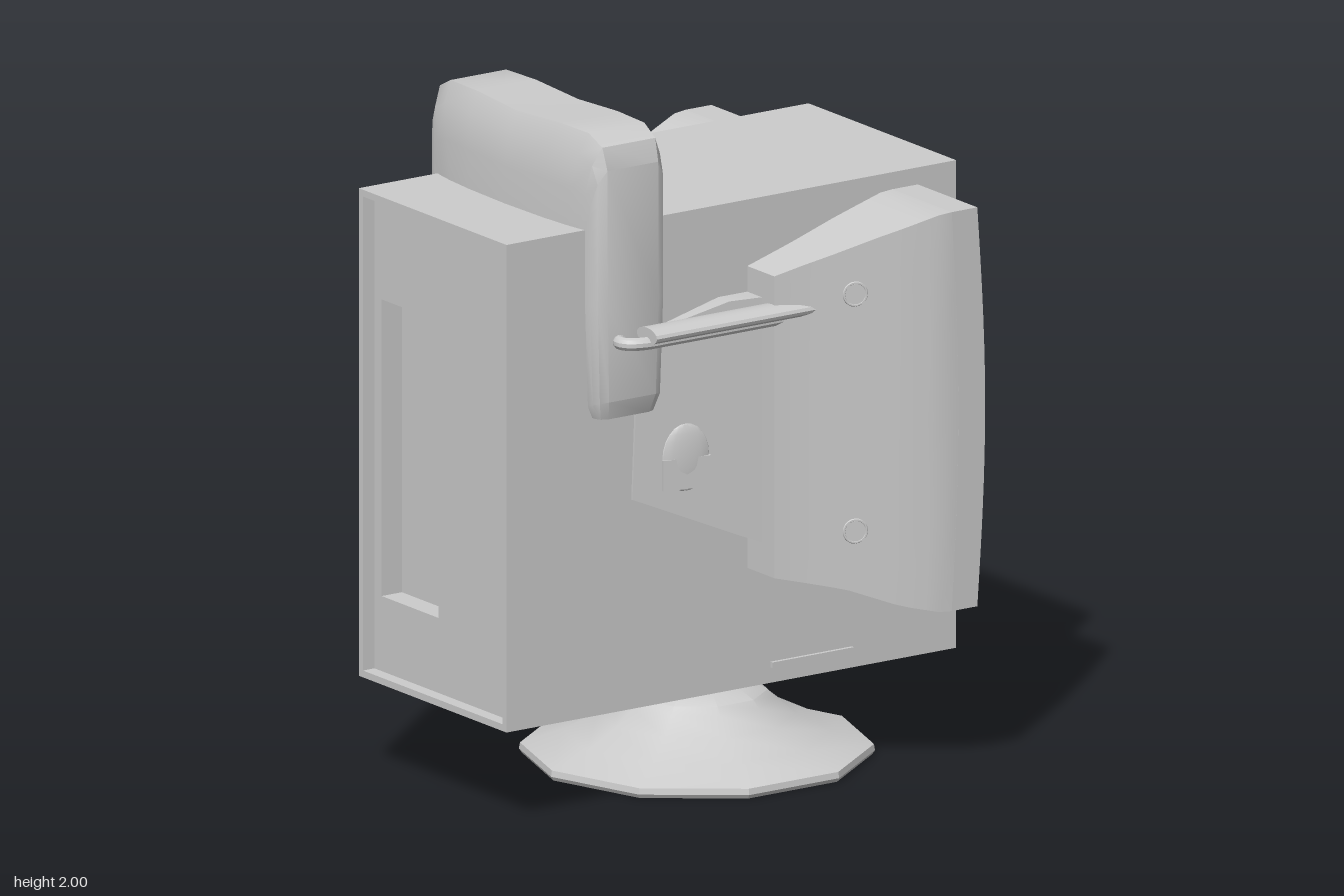
import * as THREE from 'three';
import { toCreasedNormals } from 'three/addons/utils/BufferGeometryUtils.js';

const grey = new THREE.MeshStandardMaterial({ color: 0xcccccc });
const dark = new THREE.MeshStandardMaterial({ color: 0x6c6c6c });
const { lerp } = THREE.MathUtils;

function add(parent, name, geometry, material = grey) {
  const mesh = new THREE.Mesh(toCreasedNormals(geometry, 0.5), material);
  mesh.name = name;
  parent.add(mesh);
  return mesh;
}

function box(x0, x1, y0, y1, z0, z1) {
  return new THREE.BoxGeometry(x1 - x0, y1 - y0, z1 - z0)
    .translate((x0 + x1) / 2, (y0 + y1) / 2, (z0 + z1) / 2);
}

// Piecewise-linear lookup in a list of [x, value]
function along(points, x) {
  for (let i = 1; i < points.length; i++) {
    const [x0, a] = points[i - 1], [x1, b] = points[i];
    if (x <= x1) return lerp(a, b, (x - x0) / (x1 - x0));
  }
  return points[points.length - 1][1];
}

// Rectangular frame in the z-y plane, extruded along x
function frame(x0, x1, outer, inner) {
  const rect = ([z0, z1, y0, y1]) => [[-z1, y0], [-z0, y0], [-z0, y1], [-z1, y1]].map(p => new THREE.Vector2(...p));
  const shape = new THREE.Shape(rect(outer));
  shape.holes.push(new THREE.Path(rect(inner)));
  return new THREE.ExtrudeGeometry(shape, { depth: x1 - x0, bevelEnabled: false })
    .rotateY(Math.PI / 2).translate(x0, 0, 0);
}

// Flared side pod: a block of its (u, v, w) space, bent to the pod's outline
const podBottom = [[0, 0.64], [0.2, 0.59], [0.35, 0.53], [0.47, 0.5], [0.62, 0.5]];
const podTop = [[0, 1.525], [0.15, 1.57], [0.3, 1.62], [0.47, 1.67], [0.62, 1.67]];
const podOuter = [[0, 0.495], [0.1, 0.525], [0.35, 0.62], [0.47, 0.655], [0.62, 0.655]];
function podBlock(u0, u1, v0, v1, w0, w1) {
  const g = new THREE.BoxGeometry(1, 1, 1, 12, 10, 1);
  const p = g.attributes.position;
  for (let i = 0; i < p.count; i++) {
    const u = lerp(u0, u1, p.getX(i) + 0.5);
    const v = lerp(v0, v1, p.getY(i) + 0.5);
    const w = lerp(w0, w1, p.getZ(i) + 0.5);
    const x = u * (0.588 + 0.027 * Math.sin(Math.PI * v));
    p.setXYZ(i, x, lerp(along(podBottom, x), along(podTop, x), v), lerp(0.355, along(podOuter, x), w));
  }
  return g;
}

// Saddle over the cabinet: octagonal sections lofted along an inverted U
function saddleGeometry() {
  // outer z, outer y, inner z, inner y, half width
  const half = [
    [0.4, 1.165, 0.355, 1.165, 0.1], [0.418, 1.22, 0.355, 1.2, 0.115],
    [0.422, 1.5, 0.355, 1.5, 0.125], [0.42, 1.9, 0.355, 1.7, 0.125],
    [0.4, 1.965, 0.33, 1.7, 0.13], [0.34, 1.995, 0.28, 1.7, 0.137],
    [0.2, 1.996, 0.18, 1.7, 0.145]];
  const path = [...half, [0, 1.985, 0, 1.7, 0.15],
    ...half.slice().reverse().map(([a, b, c, d, w]) => [-a, b, -c, d, w])];
  const side = [[0, 1], [0.45, 0.98], [0.8, 0.9], [1, 0.7]];
  const loop = [...side, ...side.slice().reverse().map(([t, s]) => [t, -s])];
  const n = loop.length, pos = [], index = [];
  path.forEach(([oz, oy, iz, iy, w]) => loop.forEach(([t, s]) =>
    pos.push(-0.435 + s * w, lerp(iy, oy, t), lerp(iz, oz, t))));
  for (let i = 0; i < path.length - 1; i++) {
    for (let j = 0; j < n; j++) {
      const a = i * n + j, b = i * n + (j + 1) % n;
      index.push(a, a + n, b + n, a, b + n, b);
    }
  }
  const last = (path.length - 1) * n;
  for (let j = 1; j < n - 1; j++) index.push(0, j, j + 1, last, last + j + 1, last + j);
  const g = new THREE.BufferGeometry();
  g.setAttribute('position', new THREE.Float32BufferAttribute(pos, 3));
  g.setIndex(index);
  return g;
}

// Everything that appears on both flanks, made for +z
function makeFlank() {
  const flank = new THREE.Group();

  // Pod with a recessed window in its end
  const vLow = 0.24, vHigh = 0.94, wIn = 0.05, wOut = 0.75, uCut = 0.85;
  add(flank, 'podShell', podBlock(0, uCut, 0, 1, 0, 1));
  add(flank, 'podFrameBottom', podBlock(uCut, 1, 0, vLow, 0, 1));
  add(flank, 'podFrameTop', podBlock(uCut, 1, vHigh, 1, 0, 1));
  add(flank, 'podFrameOuter', podBlock(uCut, 1, vLow, vHigh, wOut, 1));
  add(flank, 'podFrameInner', podBlock(uCut, 1, vLow, vHigh, 0, wIn));
  add(flank, 'podWindow', podBlock(uCut - 0.02, uCut + 0.02, vLow, vHigh, wIn, wOut), dark);

  // Screws on the sloping pod face
  for (const y of [0.76, 1.455]) {
    const screw = new THREE.Group();
    screw.name = 'podScrew';
    screw.position.set(0.225, y, along(podOuter, 0.225));
    screw.rotation.y = -Math.atan(0.38);
    add(screw, 'screwRim', new THREE.TorusGeometry(0.033, 0.004, 6, 20));
    add(screw, 'screwHead', new THREE.CylinderGeometry(0.03, 0.03, 0.004, 20).rotateX(Math.PI / 2));
    flank.add(screw);
  }

  // Tapered wing in front of the pod
  const outline = [[-0.4, 0.905], [0, 0.73], [0, 1.45], [-0.1, 1.45], [-0.38, 1.38]];
  const wing = new THREE.ExtrudeGeometry(
    new THREE.Shape(outline.map(p => new THREE.Vector2(...p))), { depth: 1, bevelEnabled: false });
  const p = wing.attributes.position;
  for (let i = 0; i < p.count; i++) {
    p.setZ(i, p.getZ(i) > 0.5 ? 0.368 + 0.066 * (p.getX(i) + 0.4) / 0.4 : 0.34);
  }
  add(flank, 'wing', wing);
  const knob = add(flank, 'wingKnob', new THREE.SphereGeometry(1, 20, 12).scale(0.075, 0.1, 0.016));
  knob.position.set(-0.235, 1.01, 0.393);
  knob.rotation.y = -0.163;
  const grip = add(flank, 'wingGrip', box(-0.075, 0.075, -0.045, 0.045, -0.01, 0.012));
  grip.position.set(-0.235, 0.965, 0.395);
  grip.rotation.y = -0.163;

  // Hooked rod and flat arm joining pod and saddle
  const hook = new THREE.CatmullRomCurve3([[-0.46, 0.4], [-0.488, 0.425], [-0.485, 0.46], [-0.44, 0.482],
    [-0.35, 0.485], [0.08, 0.485]].map(([x, z]) => new THREE.Vector3(x, 1.395, z)));
  add(flank, 'hookRod', new THREE.TubeGeometry(hook, 40, 0.019, 10));
  add(flank, 'arm', new THREE.CylinderGeometry(1, 1, 0.55, 16).rotateZ(Math.PI / 2)
    .scale(1, 0.024, 0.05).translate(-0.155, 1.417, 0.482));

  // Low slot rib
  add(flank, 'slotRib', box(0.08, 0.36, 0.335, 0.352, 0.35, 0.373));
  return flank;
}

export function createModel() {
  const model = new THREE.Group();
  model.name = 'cabinetOnStand';

  // Cabinet with an inset, windowed end panel
  add(model, 'cabinet', box(-0.72, 0.72, 0.29, 1.72, -0.365, 0.362));
  add(model, 'endPanel', frame(-0.79, -0.72, [-0.355, 0.352, 0.3, 1.71], [-0.31, -0.03, 0.53, 1.4]));
  add(model, 'endRim', frame(-0.83, -0.72, [-0.365, 0.362, 0.29, 1.72], [-0.345, 0.342, 0.31, 1.7]));

  // Ten-sided pedestal
  const profile = [[0, 0], [0.495, 0], [0.503, 0.012], [0.5, 0.03], [0.38, 0.07], [0.28, 0.12],
    [0.22, 0.168], [0.2, 0.19], [0.15, 0.215], [0, 0.222]].map(q => new THREE.Vector2(...q));
  add(model, 'pedestal', new THREE.LatheGeometry(profile, 10).rotateY(Math.PI / 2)).position.x = 0.08;
  add(model, 'neck', new THREE.CylinderGeometry(0.075, 0.075, 0.1, 16)).position.set(0.08, 0.25, 0);

  // Bulging cover and buttons on the end
  const bulge = new THREE.Shape();
  bulge.moveTo(0.71, 0.125);
  bulge.splineThru([[0.72, 0.12], [0.785, 0.01], [0.828, -0.1], [0.79, -0.215], [0.72, -0.32], [0.71, -0.325]]
    .map(q => new THREE.Vector2(...q)));
  add(model, 'endCover', new THREE.ExtrudeGeometry(bulge, { depth: 0.62, bevelEnabled: false, curveSegments: 20 })
    .rotateX(-Math.PI / 2).translate(0, 0.41, 0));
  const button = (r, x, y, z) => add(model, 'button',
    new THREE.CylinderGeometry(r, r, 0.04, 20).rotateZ(Math.PI / 2)).position.set(x, y, z);
  for (const y of [0.945, 0.873, 0.8]) button(0.028, 0.716, y, -0.23);
  button(0.035, 0.595, 0.645, -0.403);

  add(model, 'saddle', saddleGeometry());

  // Mirrored flanks
  for (const s of [1, -1]) {
    const flank = makeFlank();
    flank.name = s > 0 ? 'frontFlank' : 'backFlank';
    flank.scale.z = s;
    model.add(flank);
  }
  return model;
}
